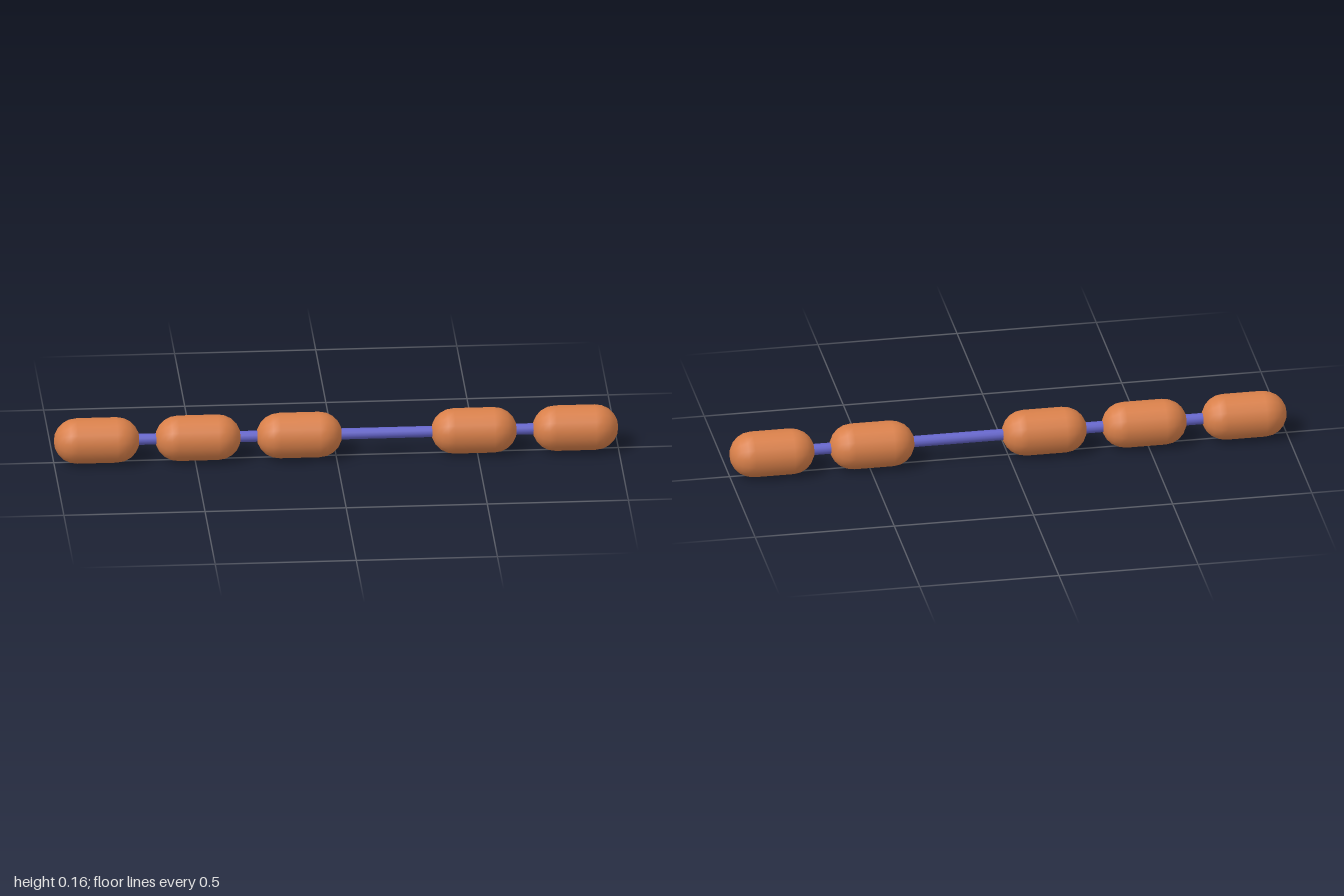
import * as THREE from 'three';

const AXIS_Y = 0.083;
const BEAD_RADIUS = 0.082;
const BEAD_LENGTH = 0.304;

export function createModel() {
  const model = new THREE.Group();
  model.name = 'beadedRod';

  const orange = new THREE.MeshStandardMaterial({ color: 0xd9804a });
  orange.name = 'orange';
  const blue = new THREE.MeshStandardMaterial({ color: 0x6666cc });
  blue.name = 'blue';

  // Capsule beads lie along x, with a flat facet facing up, down, front and back
  const beadGeometry = new THREE.CapsuleGeometry(
    BEAD_RADIUS, BEAD_LENGTH - 2 * BEAD_RADIUS, 5, 16);
  beadGeometry.rotateY(Math.PI / 16).rotateZ(Math.PI / 2);

  // Three beads on the right, two on the left, with a gap between the groups
  [-0.848, -0.489, -0.13, 0.489, 0.848].forEach((x, i) => {
    const bead = new THREE.Mesh(beadGeometry, orange);
    bead.name = `bead${i + 1}`;
    bead.position.set(x, AXIS_Y, 0);
    model.add(bead);
  });

  // Thin rod through all beads, ending inside the outer ones
  const rodGeometry = new THREE.CylinderGeometry(0.02, 0.02, 1.7, 12);
  rodGeometry.rotateZ(Math.PI / 2);
  const rod = new THREE.Mesh(rodGeometry, blue);
  rod.name = 'rod';
  rod.position.y = AXIS_Y;
  model.add(rod);

  return model;
}
